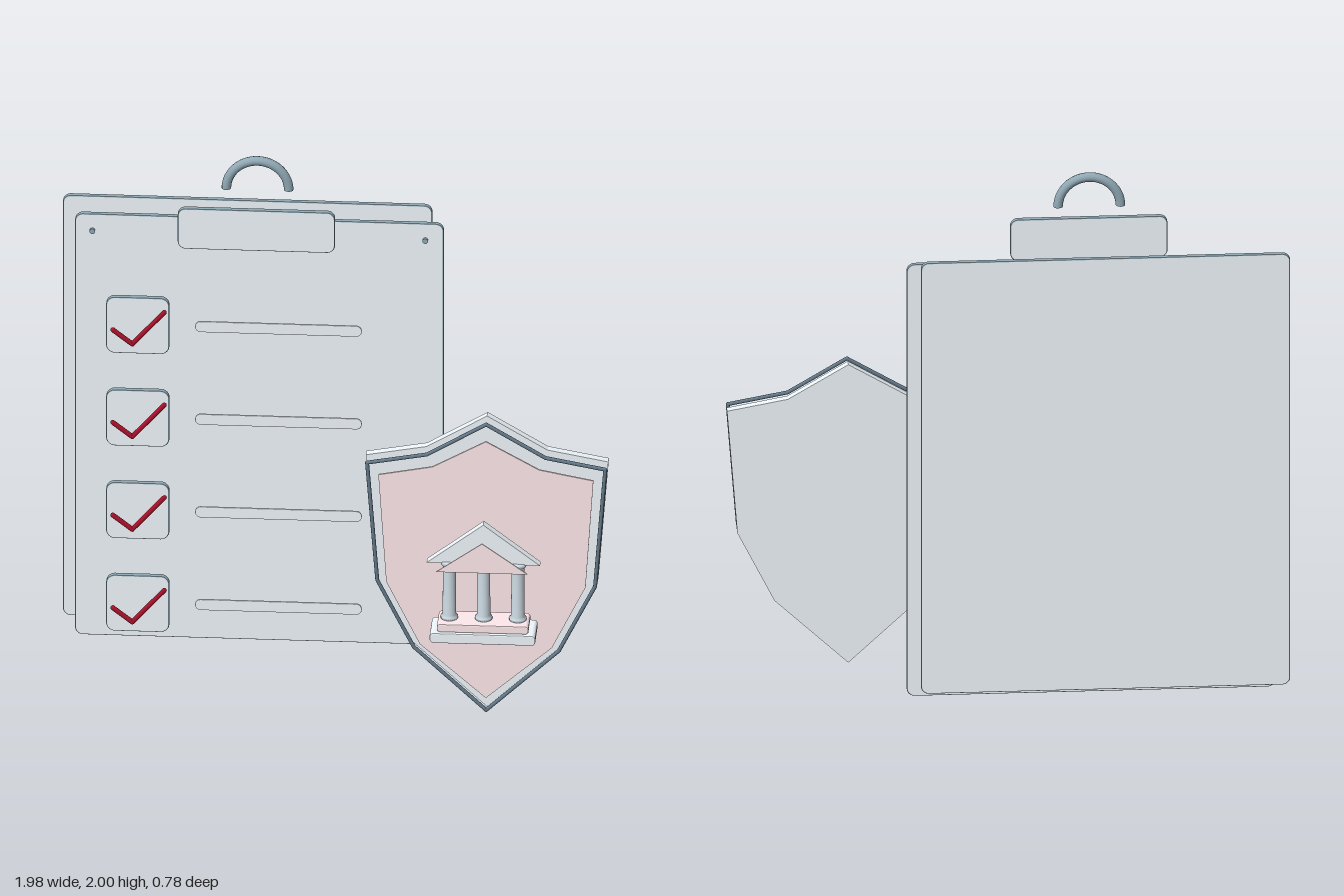
import * as THREE from 'three';

const paint = (color) => new THREE.MeshStandardMaterial({ color });
const pale = paint(0xeff7fc);
const pink = paint(0xfee8eb);
const red = paint(0xa8102a);
const steel = paint(0x90a9b5);
const darkSteel = paint(0x64798a);
const stone = paint(0xd0dee6);

function add(parent, name, geometry, material, x = 0, y = 0, z = 0) {
  const mesh = new THREE.Mesh(geometry, material);
  mesh.name = name;
  mesh.position.set(x, y, z);
  parent.add(mesh);
  return mesh;
}

// Rounded plate between two corners, from depth z0 to z1, with its own edge colour
function plate(parent, name, x0, x1, y0, y1, z0, z1, r, face = pale, edge = steel, b = 0.004) {
  const w = (x1 - x0) / 2 - b, h = (y1 - y0) / 2 - b;
  const q = Math.min(r, w, h) - 0.0005;
  const s = new THREE.Shape();
  s.absarc(w - q, h - q, q, 0, Math.PI / 2);
  s.absarc(-w + q, h - q, q, Math.PI / 2, Math.PI);
  s.absarc(-w + q, -h + q, q, Math.PI, Math.PI * 1.5);
  s.absarc(w - q, -h + q, q, Math.PI * 1.5, Math.PI * 2);
  const geometry = new THREE.ExtrudeGeometry(s, {
    depth: z1 - z0 - 2 * b, bevelSize: b, bevelThickness: b, bevelSegments: 2, curveSegments: 6,
  });
  add(parent, name, geometry, [face, edge], (x0 + x1) / 2, (y0 + y1) / 2, z0 + b);
}

// Flat-sided polygon slab
function slab(parent, name, points, material, x, z0, z1) {
  const shape = new THREE.Shape(points.map(([a, b]) => new THREE.Vector2(a, b)));
  const geometry = new THREE.ExtrudeGeometry(shape, { depth: z1 - z0, bevelEnabled: false });
  add(parent, name, geometry, material, x, 0, z0);
}

// Round-ended rod between two points in a plane of constant z
function rod(parent, name, [ax, ay], [bx, by], z, r, material) {
  const length = Math.hypot(bx - ax, by - ay);
  const mesh = add(parent, name, new THREE.CapsuleGeometry(r, length, 4, 10), material,
    (ax + bx) / 2, (ay + by) / 2, z);
  mesh.rotation.z = Math.atan2(by - ay, bx - ax) - Math.PI / 2;
}

// Full outline from its right half (first and last points lie on the axis)
const mirrored = (half) => [...half, ...half.slice(1, -1).reverse().map(([x, y]) => [-x, y])];

function createClipboard() {
  const g = new THREE.Group();
  g.name = 'clipboard';
  plate(g, 'backBoard', -0.988, 0.327, 0.078, 1.745, -0.39, -0.37, 0.025);
  plate(g, 'frontBoard', -0.94, 0.373, 0.04, 1.71, -0.317, -0.297, 0.025);

  for (const x of [-0.878, 0.308]) {
    add(g, 'rivet', new THREE.CylinderGeometry(0.01, 0.01, 0.012, 16), steel, x, 1.645, -0.293)
      .rotation.x = Math.PI / 2;
  }

  // Clip with a half-ring handle
  plate(g, 'clip', -0.565, -0.005, 1.652, 1.812, -0.177, -0.155, 0.025);
  add(g, 'clipRing', new THREE.TorusGeometry(0.111, 0.017, 12, 32, Math.PI), steel, -0.284, 1.873, -0.208);
  for (const side of [-1, 1]) {
    add(g, 'clipRingEnd', new THREE.CircleGeometry(0.017, 12), steel, -0.284 + side * 0.111, 1.873, -0.208)
      .rotation.x = Math.PI / 2;
  }

  // Checklist rows
  for (let i = 0; i < 4; i++) {
    const y = 1.342 - i * 0.3675;
    const row = new THREE.Group();
    row.name = 'checklistRow';
    g.add(row);
    plate(row, 'checkBox', -0.82, -0.595, y - 0.111, y + 0.111, -0.177, -0.155, 0.028);
    plate(row, 'textLine', -0.503, 0.09, y - 0.021, y + 0.021, -0.168, -0.16, 0.018, pale, pale, 0.002);
    const low = [-0.725, y - 0.06];
    rod(row, 'checkShortStroke', [-0.794, y - 0.006], low, -0.129, 0.009, red);
    rod(row, 'checkLongStroke', low, [-0.611, y + 0.069], -0.129, 0.009, red);
  }
  return g;
}

function createShield() {
  const g = new THREE.Group();
  g.name = 'shield';
  const cx = 0.555;
  const outer = mirrored([[0, 0.005], [0.263, 0.252], [0.395, 0.517], [0.432, 0.99], [0.215, 1.03], [0, 1.158]]);
  const inner = mirrored([[0, 0.072], [0.235, 0.278], [0.355, 0.522], [0.383, 0.945], [0.19, 0.982], [0, 1.088]]);
  slab(g, 'shieldBack', outer, pale, cx, 0.08, 0.112);
  slab(g, 'shieldPanel', inner, pink, cx, 0.171, 0.178);

  // Thin wire rim floating in front of the back plate
  const rim = outer.map(([x, y]) => [cx + x * 0.982, 0.6 + (y - 0.6) * 0.982]);
  rim.forEach((p, i) => rod(g, 'shieldRim', p, rim[(i + 1) % rim.length], 0.16, 0.007, darkSteel));
  return g;
}

function createTemple() {
  const g = new THREE.Group();
  g.name = 'temple';
  const cx = 0.555, cz = 0.297;
  plate(g, 'lowerStep', cx - 0.188, cx + 0.188, 0.376, 0.415, cz - 0.068, cz + 0.068, 0.01, pale, pale);
  plate(g, 'upperStep', cx - 0.163, cx + 0.163, 0.415, 0.446, cz - 0.057, cz + 0.057, 0.008, pink, pink);

  // Columns with a base ring and a capital
  const profile = [[0, 0.446], [0.031, 0.446], [0.031, 0.456], [0.024, 0.464], [0.023, 0.655],
    [0.03, 0.66], [0.03, 0.674], [0, 0.674]].map(([r, y]) => new THREE.Vector2(r, y));
  const column = new THREE.LatheGeometry(profile, 24);
  for (const dx of [-0.122, 0, 0.122]) add(g, 'column', column, stone, cx + dx, 0, cz);

  // Roof gable and the thin panel in front of it
  slab(g, 'gable', [[-0.202, 0.67], [0.202, 0.67], [0, 0.825]], pale, cx, cz - 0.017, cz + 0.017);
  slab(g, 'gablePanel', [[-0.163, 0.671], [0.163, 0.671], [0, 0.787]], pink, cx, 0.384, 0.389);
  return g;
}

export function createModel() {
  const model = new THREE.Group();
  model.name = 'checklistWithShield';
  model.add(createClipboard(), createShield(), createTemple());
  return model;
}
